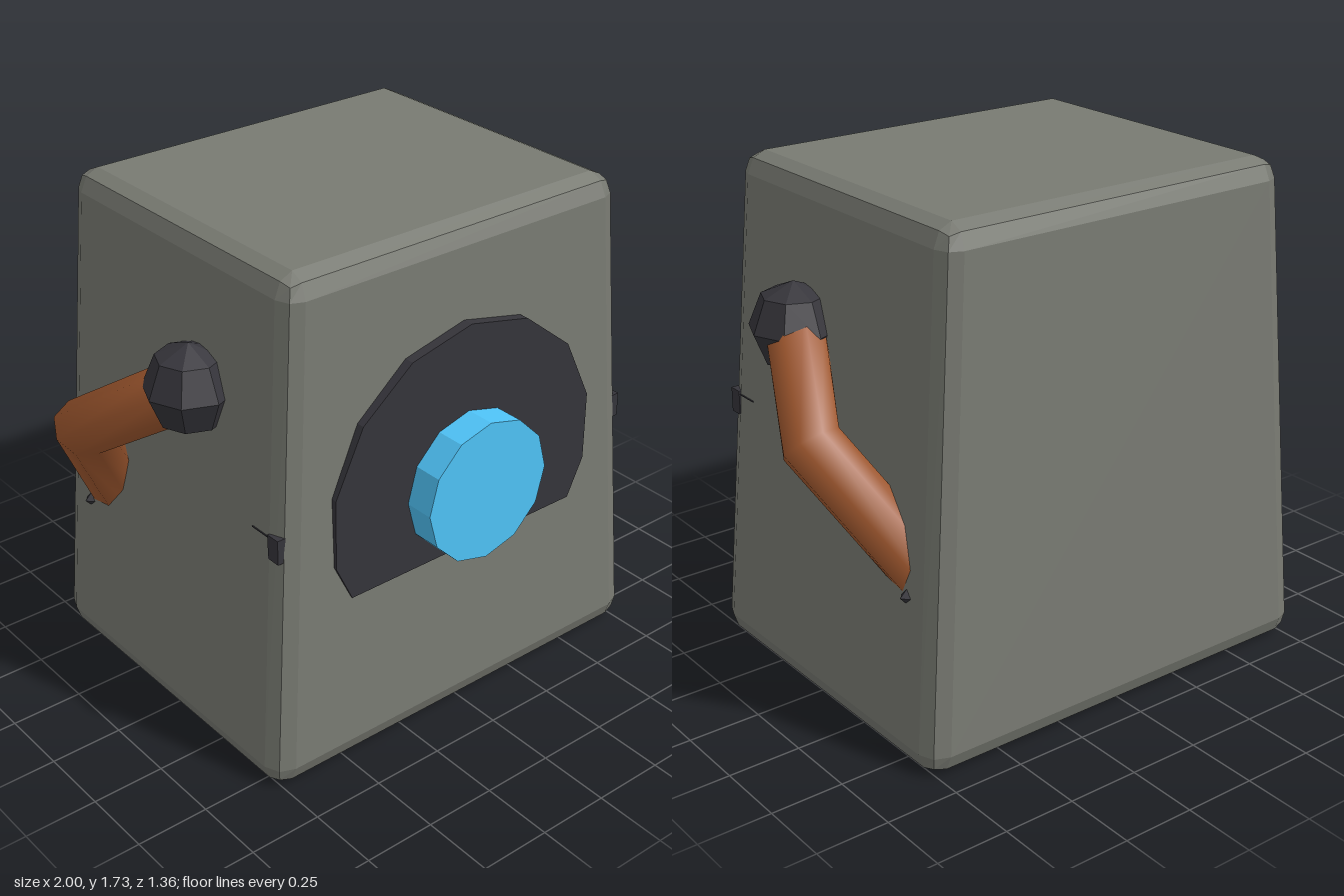
import * as THREE from 'three';
import { RoundedBoxGeometry } from 'three/addons/geometries/RoundedBoxGeometry.js';

const material = (color, flatShading = true) => new THREE.MeshStandardMaterial({ color, flatShading });

function addPart(parent, name, geometry, mat, x = 0, y = 0, z = 0) {
  const mesh = new THREE.Mesh(geometry, mat);
  mesh.name = name;
  mesh.position.set(x, y, z);
  parent.add(mesh);
  return mesh;
}

// Straight runs joined at a sharp elbow, one tube ring per point
class Polyline extends THREE.Curve {
  constructor(points) {
    super();
    this.points = points;
  }
  getPoint(t, target = new THREE.Vector3()) {
    const n = this.points.length - 1;
    const i = Math.min(Math.floor(t * n), n - 1);
    return target.lerpVectors(this.points[i], this.points[i + 1], t * n - i);
  }
  getPointAt(t, target) { return this.getPoint(t, target); }
  getTangentAt(t, target) { return this.getTangent(t, target); }
}

// Rounded box narrowing towards the top
function taperedBox(width, height, depth, radius, topX, topZ) {
  const geometry = new RoundedBoxGeometry(width, height, depth, 1, radius);
  const p = geometry.attributes.position;
  for (let i = 0; i < p.count; i++) {
    const t = p.getY(i) / height + 0.5;
    p.setX(i, p.getX(i) * THREE.MathUtils.lerp(1, topX, t));
    p.setZ(i, p.getZ(i) * THREE.MathUtils.lerp(1, topZ, t));
  }
  geometry.computeVertexNormals();
  return geometry;
}

// 14-sided disc cut off along a straight lower edge
function domePlate(radius, cutY, depth) {
  const step = (Math.PI * 2) / 14;
  const shape = new THREE.Shape();
  shape.moveTo(0.47, cutY);
  for (let i = -4; i <= 4; i++) {
    shape.lineTo(-Math.sin(i * step) * radius, Math.cos(i * step) * radius);
  }
  shape.lineTo(-0.47, cutY);
  shape.closePath();
  return new THREE.ExtrudeGeometry(shape, { depth, bevelEnabled: false });
}

function createSide(name, dark, brown) {
  const side = new THREE.Group();
  side.name = name;

  // Shoulder ball and bent arm running back into the body
  addPart(side, 'shoulderBall', new THREE.SphereGeometry(0.15, 8, 4), dark, 0.725, 1.255, 0.115);
  const path = new Polyline([
    new THREE.Vector3(0.725, 1.255, 0.115),
    new THREE.Vector3(0.9, 1.02, -0.24),
    new THREE.Vector3(0.62, 0.55, -0.49),
  ]);
  addPart(side, 'arm', new THREE.TubeGeometry(path, 2, 0.1, 8), brown);
  addPart(side, 'armTip', new THREE.OctahedronGeometry(0.05), dark, 0.72, 0.565, -0.5);

  // Small stud on the front corner with a thin seam behind it
  addPart(side, 'cornerStud', new THREE.BoxGeometry(0.05, 0.085, 0.05), dark, 0.703, 0.87, 0.52);
  addPart(side, 'cornerSeam', new THREE.BoxGeometry(0.03, 0.004, 0.13), dark, 0.709, 0.9, 0.477);
  return side;
}

export function createModel() {
  const model = new THREE.Group();
  model.name = 'model';
  const grey = material(0x787a72);
  const dark = material(0x35343a);
  const blue = material(0x4fc3f7);
  const brown = material(0xa0582f, false);

  // Body
  addPart(model, 'body', taperedBox(1.58, 1.73, 1.276, 0.072, 0.832, 0.897), grey, 0, 0.865, -0.04);

  // Front plate and round button
  addPart(model, 'frontPlate', domePlate(0.547, -0.255, 0.1), dark, 0, 0.87, 0.48);
  const button = addPart(model, 'button', new THREE.CylinderGeometry(0.246, 0.246, 0.134, 12), blue, 0, 0.87, 0.615);
  button.rotation.x = Math.PI / 2;

  // Mirrored side parts
  const left = createSide('leftSide', dark, brown);
  const right = createSide('rightSide', dark, brown);
  right.scale.x = -1;
  model.add(left, right);
  return model;
}
